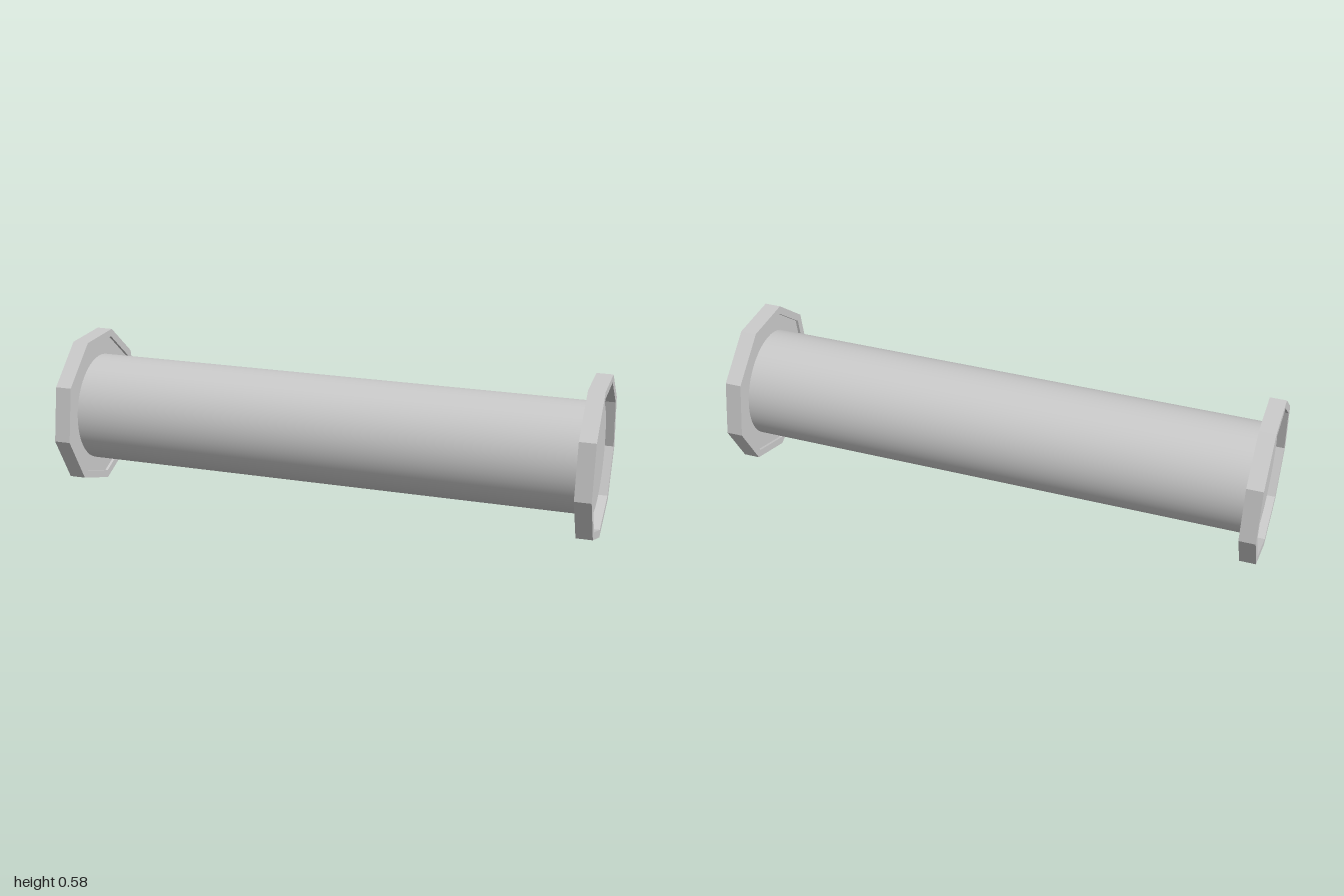
import * as THREE from 'three';

const AXIS_Y = 0.301;
const SIDES = 9;

// Nine corners around the axis, one pointing straight down
function nonagon(radius) {
  return Array.from({ length: SIDES }, (_, i) => {
    const a = -Math.PI / 2 + (i * 2 * Math.PI) / SIDES;
    return new THREE.Vector2(radius * Math.cos(a), radius * Math.sin(a));
  });
}

// Extrude a shape along x, from x0 to x1
function extrudeX(shape, x0, x1) {
  return new THREE.ExtrudeGeometry(shape, { depth: x1 - x0, bevelEnabled: false })
    .rotateY(Math.PI / 2)
    .translate(x0, 0, 0);
}

export function createModel() {
  const model = new THREE.Group();
  const smooth = new THREE.MeshStandardMaterial({ color: 0xcccccc });
  const flat = new THREE.MeshStandardMaterial({ color: 0xcccccc, flatShading: true });

  const add = (parent, name, geometry, material) => {
    const mesh = new THREE.Mesh(geometry, material);
    mesh.name = name;
    parent.add(mesh);
  };

  // Round body, its ends standing slightly proud of the flange plates
  const body = new THREE.CylinderGeometry(0.202, 0.202, 1.95, 48).rotateZ(Math.PI / 2);
  add(model, 'pipe', body, smooth);

  // Nine-sided flange at each end: raised rim with a recessed plate
  for (const [name, side] of [['leftFlange', 1], ['rightFlange', -1]]) {
    const flange = new THREE.Group();
    flange.name = name;

    const rim = new THREE.Shape(nonagon(0.3));
    rim.holes.push(new THREE.Path(nonagon(0.271)));
    add(flange, 'rim', extrudeX(rim, 0.94, 1), flat);

    const plate = new THREE.Shape(nonagon(0.275));
    add(flange, 'plate', extrudeX(plate, 0.95, 0.962), flat);

    flange.rotation.y = side > 0 ? 0 : Math.PI;
    model.add(flange);
  }

  model.position.y = AXIS_Y;
  const group = new THREE.Group();
  group.name = 'flangedPipe';
  group.add(model);
  return group;
}
